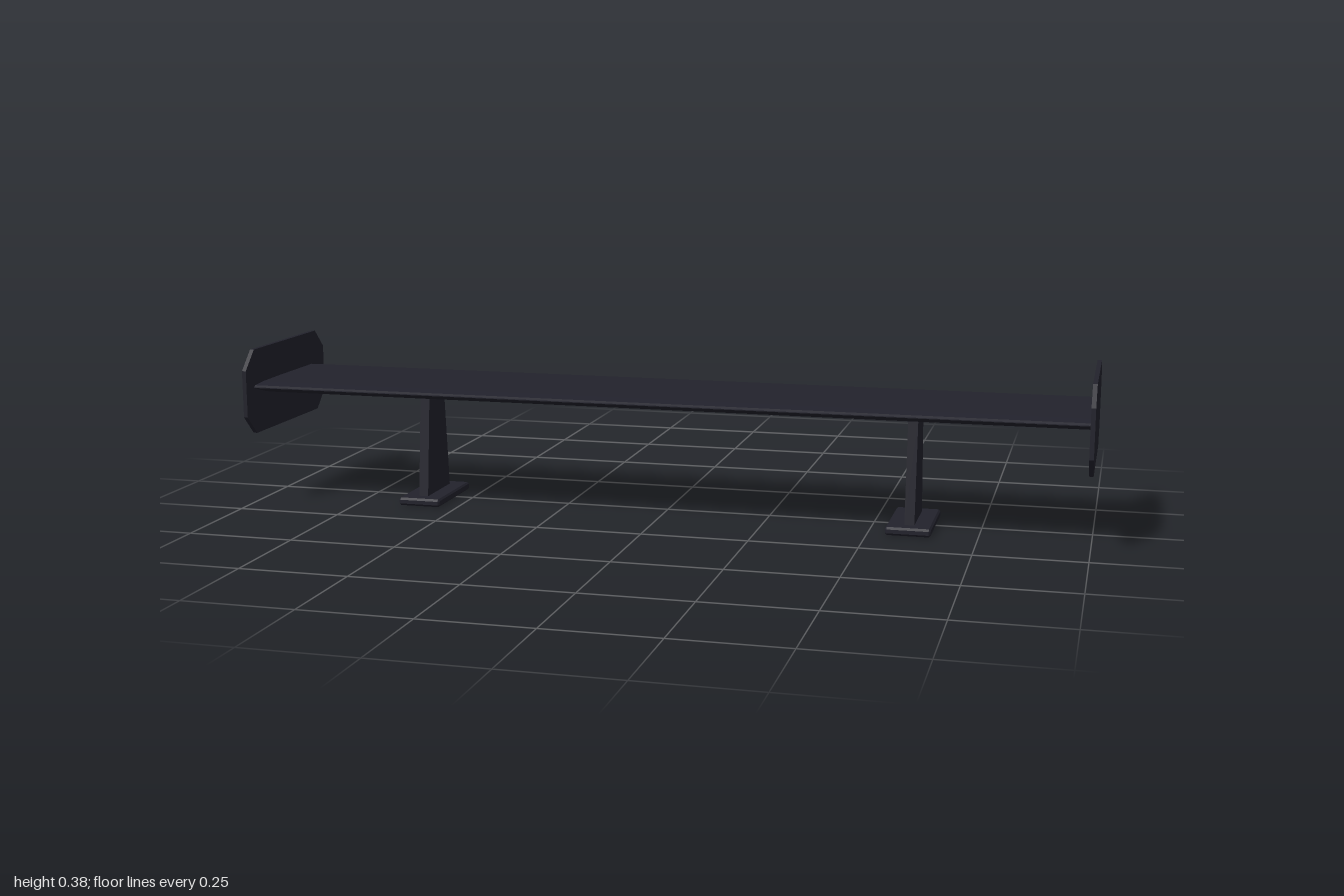
import * as THREE from 'three';

const carbon = new THREE.MeshStandardMaterial({ color: 0x22222c });
carbon.name = 'dark carbon';

// Extrudes a (z, y) outline along x, centred on x = 0
function sidePanel(name, points, width, bevel = 0) {
  const shape = new THREE.Shape(points.map(([z, y]) => new THREE.Vector2(-z, y)));
  const depth = width - 2 * bevel;
  const geometry = new THREE.ExtrudeGeometry(shape, {
    depth, bevelEnabled: bevel > 0, bevelThickness: bevel,
    bevelSize: bevel, bevelOffset: -bevel, bevelSegments: 1,
  });
  geometry.translate(0, 0, -depth / 2);
  geometry.rotateY(Math.PI / 2);
  const mesh = new THREE.Mesh(geometry, carbon);
  mesh.name = name;
  return mesh;
}

export function createModel() {
  const group = new THREE.Group();
  group.name = 'rearWing';

  // Main blade: nearly flat top, underside bulging downwards
  const blade = [
    [0.178, 0.286], [0.172, 0.29], [0.13, 0.293], [0.04, 0.294], [-0.06, 0.294], [-0.145, 0.294], [-0.152, 0.29],
  ];
  const steps = 12;
  for (let i = 0; i <= steps; i++) {
    const t = i / steps;
    blade.push([-0.152 + 0.33 * t, 0.282 + 0.002 * t - 0.031 * Math.sin(Math.PI * t)]);
  }
  group.add(sidePanel('blade', blade, 1.984));

  // End plates with cut corners
  const h = 0.217, c = 0.046, bottom = 0.172, top = 0.377;
  const plate = [
    [h, bottom + c], [h, top - c], [h - c, top], [c - h, top],
    [-h, top - c], [-h, bottom + c], [c - h, bottom], [h - c, bottom],
  ];

  for (const [side, label] of [[1, 'left'], [-1, 'right']]) {
    const endPlate = sidePanel(label + 'EndPlate', plate, 0.01);
    endPlate.position.x = side * 0.995;

    // Tapered upright on a bevelled foot
    const support = new THREE.Group();
    support.name = label + 'Support';
    support.position.x = side * 0.593;
    support.add(
      sidePanel('upright', [[0.091, 0.015], [0.066, 0.262], [-0.031, 0.262], [-0.056, 0.015]], 0.023),
      sidePanel('foot', [
        [0.123, 0.005], [0.123, 0.014], [0.118, 0.019], [-0.083, 0.019],
        [-0.088, 0.014], [-0.088, 0.005], [-0.083, 0], [0.118, 0],
      ], 0.104, 0.004),
    );
    group.add(endPlate, support);
  }
  return group;
}
